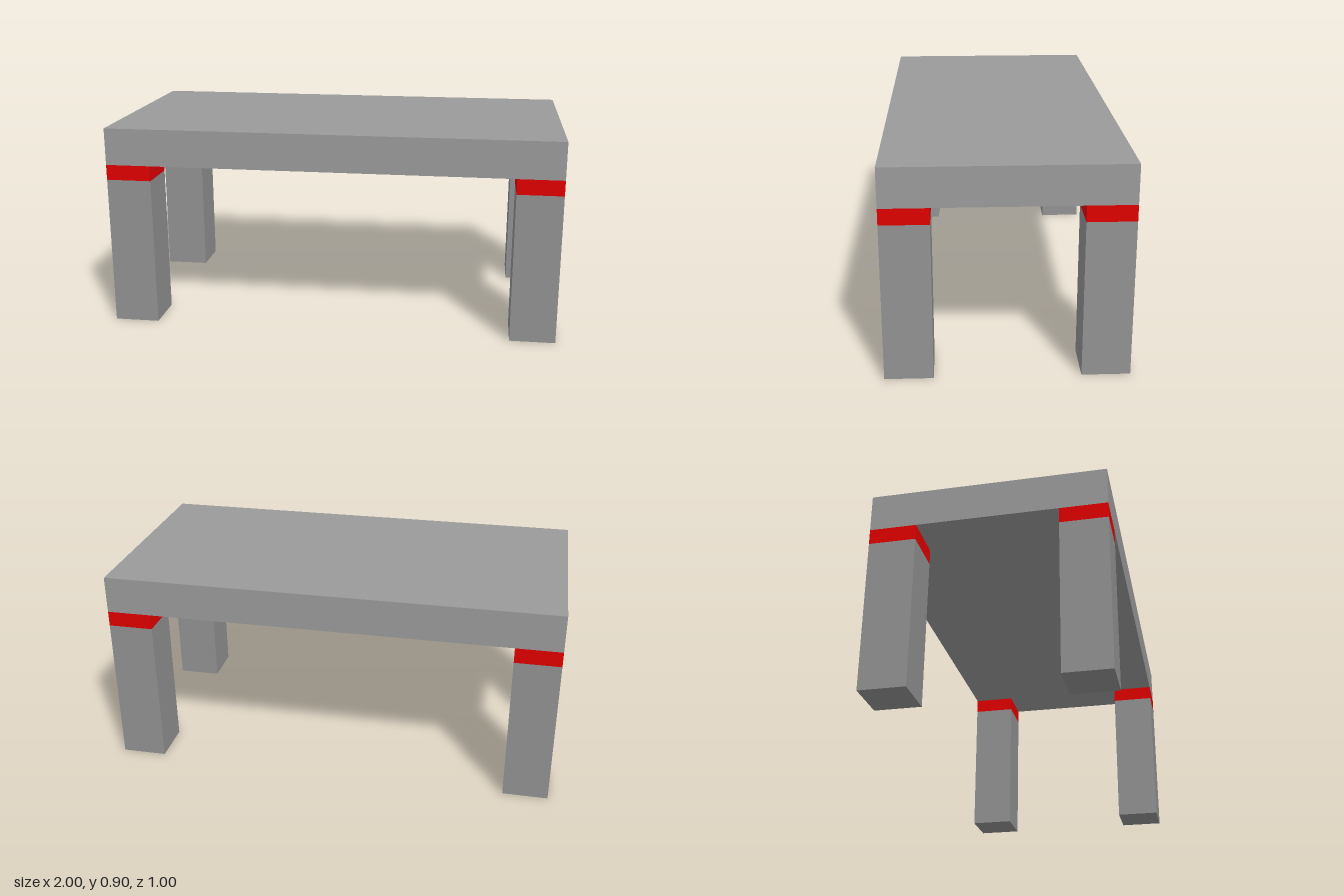
import * as THREE from 'three';

export function createModel() {
  const model = new THREE.Group();
  const slabGrey = new THREE.MeshStandardMaterial({ color: 0x9a9a9a });
  const legGrey = new THREE.MeshStandardMaterial({ color: 0x929292 });
  const red = new THREE.MeshStandardMaterial({ color: 0xe00000 });

  // Box standing on height y0 and reaching y1
  function addBox(name, width, depth, y0, y1, x, z, material) {
    const mesh = new THREE.Mesh(new THREE.BoxGeometry(width, y1 - y0, depth), material);
    mesh.name = name;
    mesh.position.set(x, (y0 + y1) / 2, z);
    model.add(mesh);
  }

  const legTop = 0.667, slabBottom = 0.735, slabTop = 0.9, legSize = 0.2;

  // Table top
  addBox('tableTop', 2, 1, slabBottom, slabTop, 0, 0, slabGrey);

  // Four corner legs, each with a red band under the top
  for (const [side, x] of [['Left', 0.9], ['Right', -0.9]]) {
    for (const [end, z] of [['front', 0.4], ['back', -0.4]]) {
      addBox(`${end}${side}Leg`, legSize, legSize, 0, legTop, x, z, legGrey);
      addBox(`${end}${side}Band`, legSize, legSize, legTop, slabBottom, x, z, red);
    }
  }

  return model;
}
